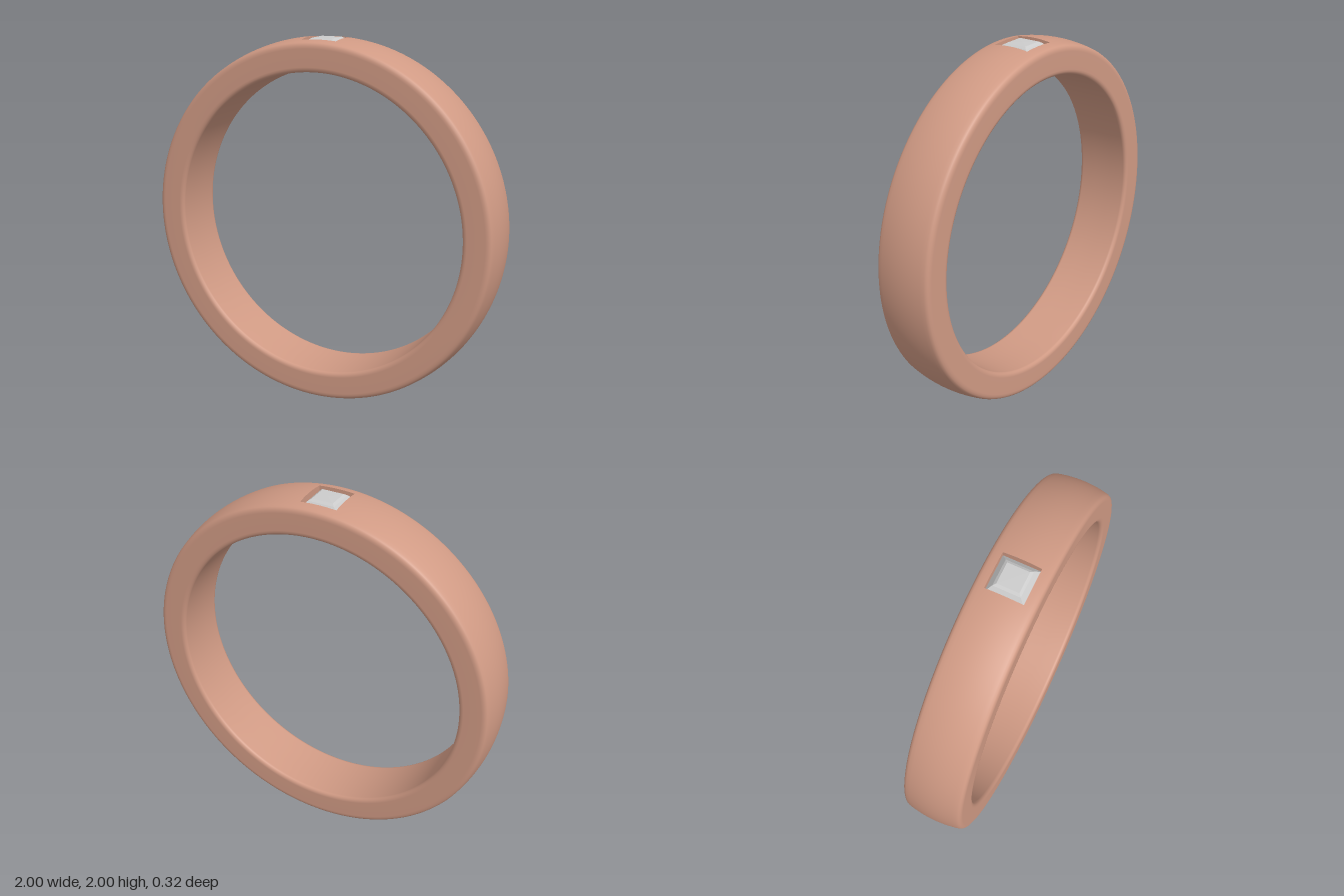
import * as THREE from 'three';

const BAND = 0xd09a84;
const INNER = 0.828;                       // radius of the finger hole
const outer = z => 1 - 0.8 * z * z;        // gently domed outside radius
const SEGMENTS = 314;                      // one segment spans 0.02 rad

// Square loop of unit (u, v) positions, n points per side
function squareLoop(n, place) {
  const corners = [[1, 1], [1, -1], [-1, -1], [-1, 1]];
  const loop = [];
  corners.forEach(([u, v], i) => {
    const [u2, v2] = corners[(i + 1) % 4];
    for (let k = 0; k < n; k++) {
      const t = k / n;
      loop.push(place(u + (u2 - u) * t, v + (v2 - v) * t));
    }
  });
  return loop;
}

// Faceted skin between successive loops; top-to-bottom order faces outward
function loft(loops) {
  const pos = [];
  for (let i = 0; i + 1 < loops.length; i++) {
    const a = loops[i], b = loops[i + 1], n = a.length;
    for (let j = 0; j < n; j++) {
      const k = (j + 1) % n;
      pos.push(...a[j], ...b[j], ...a[k], ...a[k], ...b[j], ...b[k]);
    }
  }
  const geo = new THREE.BufferGeometry();
  geo.setAttribute('position', new THREE.Float32BufferAttribute(pos, 3));
  geo.computeVertexNormals();
  return geo;
}

// Domed band with rounded edges, opened at the top for the stone
function bandGeometry() {
  const half = [[INNER, 0], [INNER, 0.05], [INNER, 0.14], [0.83, 0.15], [0.836, 0.157],
    [0.845, 0.161], [0.855, 0.162], [0.95, 0.162], [0.962, 0.161], [0.972, 0.157], [0.979, 0.151]];
  const pts = half.map(([r, z]) => new THREE.Vector2(r, -z));
  for (let i = -7; i <= 7; i++) pts.push(new THREE.Vector2(outer(i * 0.02), i * 0.02));
  half.slice().reverse().forEach(([r, z]) => pts.push(new THREE.Vector2(r, z)));
  const geo = new THREE.LatheGeometry(pts, SEGMENTS);
  geo.rotateX(-Math.PI / 2);

  // Leave out the faces over the square opening
  const p = geo.attributes.position, idx = geo.index.array, kept = [];
  for (let i = 0; i < idx.length; i += 3) {
    const tri = [idx[i], idx[i + 1], idx[i + 2]];
    const mean = f => (f(tri[0]) + f(tri[1]) + f(tri[2])) / 3;
    const x = mean(k => p.getX(k)), y = mean(k => p.getY(k)), z = mean(k => p.getZ(k));
    const outside = Math.hypot(x, y) > 0.9;
    const angle = Math.abs(Math.atan2(x, y));
    const open = angle < (outside ? 0.1 : 0.06) && Math.abs(z) < (outside ? 0.1 : 0.05);
    if (!open) kept.push(...tri);
  }
  geo.setIndex(kept);
  return geo;
}

// Socket walls, sloping seat and the narrow shaft through to the inside
function socketGeometry() {
  const n = 10;
  const onArc = (radius, angle, depth) => squareLoop(n, (u, v) => {
    const z = v * depth, r = radius(z);
    return [r * Math.sin(u * angle), r * Math.cos(u * angle), z];
  });
  const flat = (h, y) => squareLoop(n, (u, v) => [u * h, y, v * h]);
  return loft([onArc(() => INNER, 0.06, 0.05), flat(0.05, 0.9),
    flat(0.1, 0.943), onArc(outer, 0.1, 0.1)]);
}

// Square cut stone: table, stepped crown, girdle, pavilion
function stoneGeometry() {
  const steps = [[0, 0.996], [0.058, 0.995], [0.072, 0.986], [0.099, 0.956], [0.099, 0.946], [0, 0.862]];
  return loft(steps.map(([h, y]) => squareLoop(1, (u, v) => [u * h, y, v * h])));
}

export function createModel() {
  const group = new THREE.Group();
  group.name = 'ring';
  const metal = new THREE.MeshStandardMaterial({ color: BAND });
  const grey = new THREE.MeshStandardMaterial({ color: 0xcccccc, flatShading: true });
  const add = (name, geo, material) => {
    const mesh = new THREE.Mesh(geo, material);
    mesh.name = name;
    mesh.position.y = 1;
    group.add(mesh);
  };
  add('band', bandGeometry(), metal);
  add('socket', socketGeometry(), metal);
  add('stone', stoneGeometry(), grey);
  return group;
}
